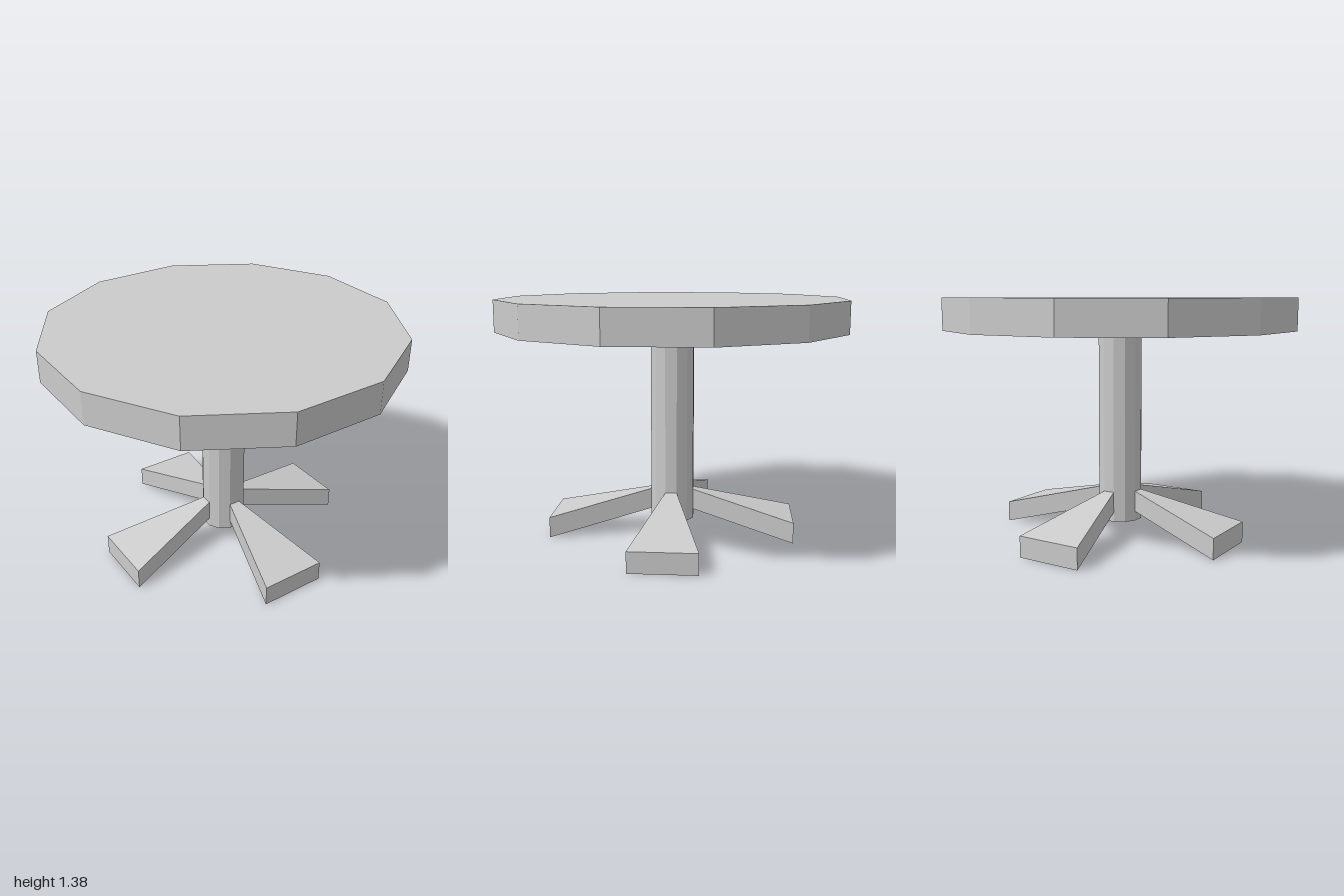
import * as THREE from 'three';

const SIDES = 12;
const COLUMN_R = 0.127;
const LEG_R = 0.73;

// A leg grows out of one column facet: it fans out and slopes down to the floor.
function legGeometry() {
  const geo = new THREE.BoxGeometry(1, 1, 1);
  const pos = geo.attributes.position;
  for (let i = 0; i < pos.count; i++) {
    const outer = pos.getX(i) > 0;
    const r = outer ? LEG_R : COLUMN_R;
    const a = pos.getZ(i) > 0 ? (2 * Math.PI) / SIDES : 0;
    const bottom = outer ? 0 : 0.145;
    const y = bottom + (pos.getY(i) > 0 ? 0.12 : 0);
    pos.setXYZ(i, r * Math.cos(a), y, r * Math.sin(a));
  }
  geo.computeVertexNormals();
  return geo;
}

export function createModel() {
  const group = new THREE.Group();
  group.name = 'pedestalTable';
  const material = new THREE.MeshStandardMaterial({ color: 0xcccccc, flatShading: true });

  // Upright twelve-sided prism between two heights
  const prism = (name, radius, y0, y1) => {
    const mesh = new THREE.Mesh(new THREE.CylinderGeometry(radius, radius, y1 - y0, SIDES), material);
    mesh.name = name;
    mesh.position.y = (y0 + y1) / 2;
    group.add(mesh);
  };
  prism('tableTop', 1, 1.2, 1.38);
  prism('column', COLUMN_R, 0.09, 1.2);

  // Four legs, every third facet
  const geo = legGeometry();
  for (let i = 0; i < 4; i++) {
    const leg = new THREE.Mesh(geo, material);
    leg.name = `leg${i + 1}`;
    leg.rotation.y = (i * Math.PI) / 2;
    group.add(leg);
  }
  return group;
}
